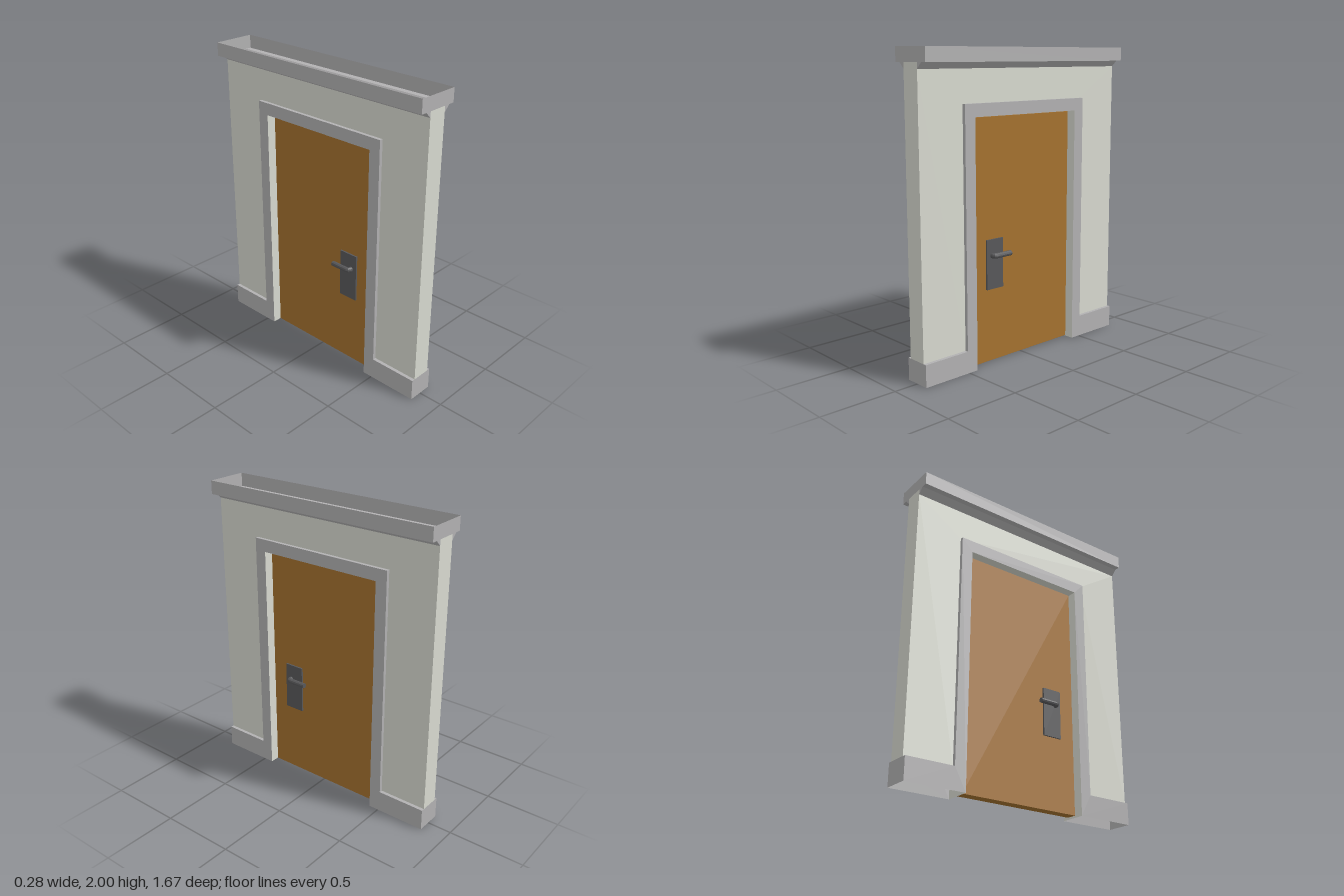
import * as THREE from 'three';

// Main measures: half widths in x, half lengths in z, heights in y
const WALL = 0.064, TRIM = 0.087, HALF = 0.836, TOP = 2;
const BASE = 0.143, SHELF = 1.912, COVE = 1.874;
const FRAME = 0.512, FRAME_TOP = 1.668, OPEN = 0.434, OPEN_TOP = 1.587;

const paint = (color) =>
  new THREE.MeshStandardMaterial({ color, side: THREE.DoubleSide, flatShading: true });
const wallMat = paint(0xd8dad0), trimMat = paint(0xb2b1b2);
const doorMat = paint(0xa5722f), metalMat = paint(0x58585a);

function part(name, geometry, material) {
  const mesh = new THREE.Mesh(geometry, material);
  mesh.name = name;
  return mesh;
}

// Flat sheet bounded by 2D points, facing +z
function sheet(points) {
  return new THREE.ShapeGeometry(new THREE.Shape(points.map(([u, v]) => new THREE.Vector2(u, v))));
}

// Open band: a 2D path stretched from a to b along the third axis
function band(path, place, a, b) {
  const pos = [];
  for (let i = 0; i + 1 < path.length; i++) {
    const A = place(path[i], a), B = place(path[i + 1], a);
    const C = place(path[i + 1], b), D = place(path[i], b);
    pos.push(...A, ...B, ...C, ...A, ...C, ...D);
  }
  const g = new THREE.BufferGeometry();
  g.setAttribute('position', new THREE.Float32BufferAttribute(pos, 3));
  g.computeVertexNormals();
  return g;
}
const alongX = ([z, y], x) => [x, y, z];
const alongZ = ([x, y], z) => [x, y, z];

// Complete a symmetric outline from its right half
const mirrored = (half) => [...half, ...half.map(([u, v]) => [-u, v]).reverse()];

// One broad face of the wall with its raised trim and half of the cornice
function wallSide() {
  const side = new THREE.Group();
  side.name = 'wallSide';
  const trimEdge = [[HALF, BASE], [FRAME, BASE], [FRAME, FRAME_TOP]];

  const face = sheet(mirrored([[FRAME, FRAME_TOP], [FRAME, BASE], [HALF, BASE], [HALF, COVE]]));
  face.rotateY(Math.PI / 2).translate(WALL, 0, 0);
  side.add(part('wallFace', face, wallMat));

  const trim = sheet(mirrored([[OPEN, OPEN_TOP], [OPEN, 0], [HALF, 0], ...trimEdge]));
  trim.rotateY(Math.PI / 2).translate(TRIM, 0, 0);
  side.add(part('trimFace', trim, trimMat));
  side.add(part('trimLedge', band(mirrored(trimEdge), alongX, TRIM, WALL), trimMat));

  const profile = [[WALL, COVE], [0.102, SHELF], [0.141, SHELF], [0.141, TOP]];
  side.add(part('cornice', band(profile, alongZ, -HALF, HALF), trimMat));
  return side;
}

// Narrow end of the wall
function wallEnd() {
  const end = new THREE.Group();
  end.name = 'wallEnd';
  const pieces = [
    ['endFace', [[WALL, BASE], [WALL, SHELF]], wallMat],
    ['baseEnd', [[TRIM, 0], [TRIM, BASE]], trimMat],
    ['corniceEnd', [[WALL, SHELF], [WALL, COVE], [0.102, SHELF], [0.141, SHELF], [0.141, TOP]], trimMat],
  ];
  for (const [name, half, mat] of pieces) {
    end.add(part(name, sheet(mirrored(half)).translate(0, 0, HALF), mat));
  }
  return end;
}

// Plate and bent lever on the door face at side s
function handle(s) {
  const g = new THREE.Group();
  g.name = 'handle';
  const plate = part('handlePlate', new THREE.BoxGeometry(0.012, 0.323, 0.136), metalMat);
  plate.position.set(s * 0.039, 0.649, 0.244);
  g.add(plate);

  const y = 0.707, r = 0.017;
  const path = new THREE.CurvePath();
  const v = (x, z) => new THREE.Vector3(s * x, y, z);
  path.add(new THREE.LineCurve3(v(0.04, 0.269), v(0.055, 0.269)));
  path.add(new THREE.QuadraticBezierCurve3(v(0.055, 0.269), v(0.069, 0.269), v(0.069, 0.25)));
  path.add(new THREE.LineCurve3(v(0.069, 0.25), v(0.069, 0.133)));
  g.add(part('lever', new THREE.TubeGeometry(path, 24, r, 10), metalMat));

  const tip = part('leverTip', new THREE.CircleGeometry(r, 10), metalMat);
  tip.position.set(s * 0.069, y, 0.133);
  tip.rotation.y = Math.PI;
  g.add(tip);
  return g;
}

export function createModel() {
  const model = new THREE.Group();
  model.name = 'doorway';

  for (const turn of [0, Math.PI]) {
    for (const piece of [wallSide(), wallEnd()]) {
      piece.rotation.y = turn;
      model.add(piece);
    }
  }

  // Lining of the opening
  const lining = [[OPEN, 0], [OPEN, OPEN_TOP], [-OPEN, OPEN_TOP], [-OPEN, 0]];
  model.add(part('doorJamb', band(lining, alongX, -TRIM, TRIM), wallMat));

  // Door leaf with a handle on both faces
  const door = part('door', new THREE.BoxGeometry(0.068, 1.57, 0.846), doorMat);
  door.position.y = 0.795;
  model.add(door, handle(1), handle(-1));
  return model;
}
